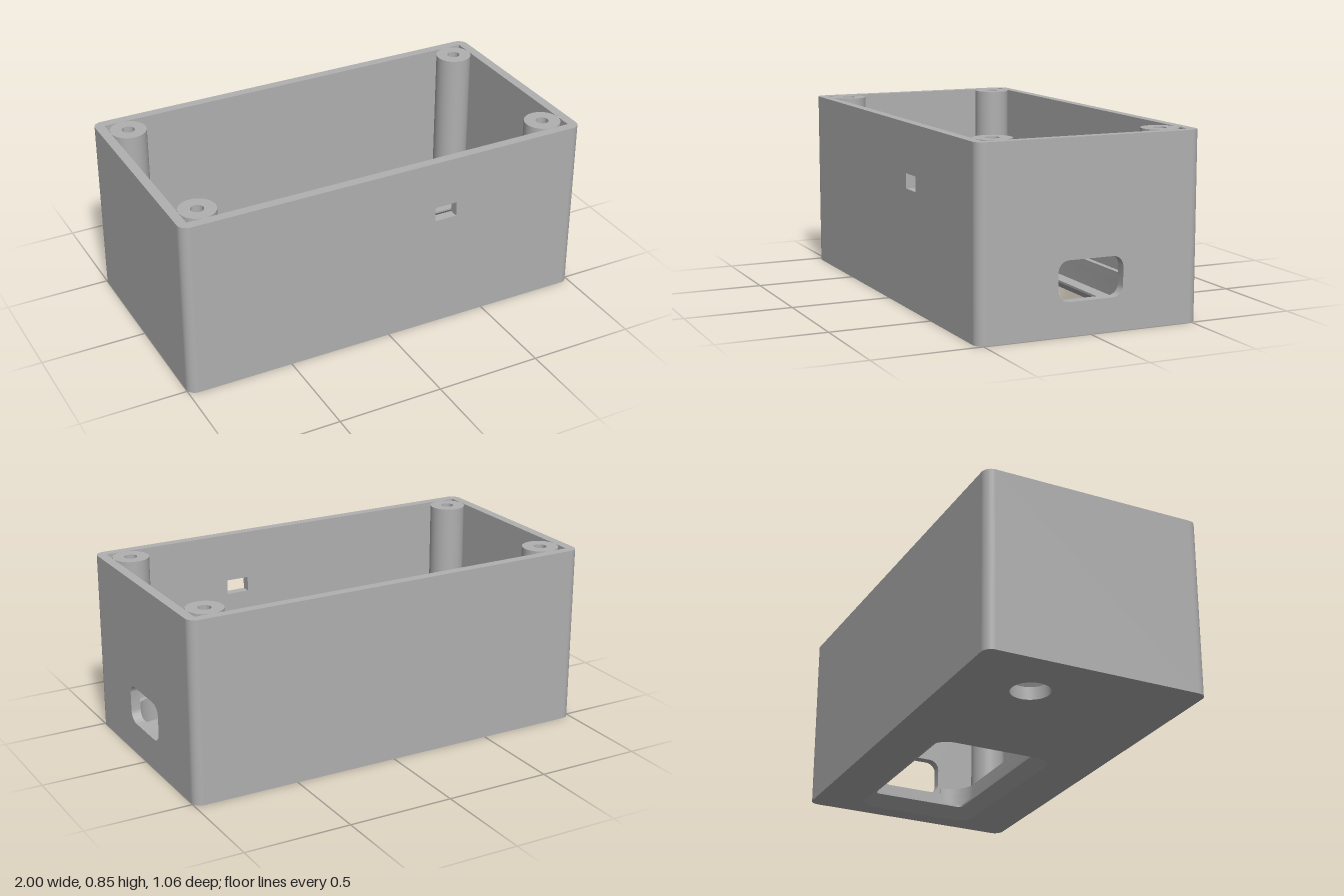
import * as THREE from 'three';
import { toCreasedNormals } from 'three/addons/utils/BufferGeometryUtils.js';

const X = 0.955, Z = 0.485, WALL = 0.045, H = 0.85, FLOOR = 0.06;

// Rounded rectangle, anticlockwise, starting and ending on its right edge
function roundedRect(x0, x1, y0, y1, r, steps = 10) {
  const points = [];
  const centres = [[x1 - r, y1 - r], [x0 + r, y1 - r], [x0 + r, y0 + r], [x1 - r, y0 + r]];
  centres.forEach(([cx, cy], k) => {
    for (let i = 0; i <= steps; i++) {
      const a = (k + i / steps) * Math.PI / 2;
      points.push(new THREE.Vector2(cx + r * Math.cos(a), cy + r * Math.sin(a)));
    }
  });
  return points;
}

function rect(x0, x1, y0, y1) {
  return [[x0, y0], [x1, y0], [x1, y1], [x0, y1]].map(p => new THREE.Vector2(...p));
}

function extrude(outline, holes, depth) {
  const shape = new THREE.Shape(outline);
  holes.forEach(h => shape.holes.push(new THREE.Path(h)));
  return toCreasedNormals(new THREE.ExtrudeGeometry(shape, { depth, bevelEnabled: false }), 0.5);
}

// Horizontal plate: outline y becomes -z
function plate(outline, holes, y, depth) {
  return extrude(outline, holes, depth).rotateX(-Math.PI / 2).translate(0, y, 0);
}

// Joins matching loops, each given as [points, height]
function loft(loops) {
  const n = loops[0][0].length, position = [], index = [];
  loops.forEach(([points, y]) => points.forEach(p => position.push(p.x, y, -p.y)));
  for (let j = 0; j < loops.length - 1; j++) {
    for (let i = 0; i < n; i++) {
      const k = (i + 1) % n, a = j * n, b = a + n;
      index.push(a + i, a + k, b + k, a + i, b + k, b + i);
    }
  }
  const geometry = new THREE.BufferGeometry();
  geometry.setAttribute('position', new THREE.Float32BufferAttribute(position, 3));
  geometry.setIndex(index);
  return toCreasedNormals(geometry, 0.5);
}

export function createModel() {
  const model = new THREE.Group();
  const grey = new THREE.MeshStandardMaterial({ color: 0xb0b0b0 });
  grey.name = 'grey plastic';
  const add = (name, geometry, x = 0, y = 0, z = 0) => {
    const mesh = new THREE.Mesh(geometry, grey);
    mesh.name = name;
    mesh.position.set(x, y, z);
    model.add(mesh);
  };

  // Long walls, the front one with a small slot
  const longSide = rect(-X, X, 0, H);
  add('frontWall', extrude(longSide, [rect(0.23, 0.34, 0.55, 0.62)], WALL), 0, 0, Z);
  add('backWall', extrude(longSide, [], WALL), 0, 0, -Z - WALL);

  // End walls, the one at +x with a rounded cable opening
  const shortSide = rect(-Z, Z, 0, H);
  const cable = roundedRect(-0.155, 0.155, 0.15, 0.33, 0.05);
  add('cableWall', extrude(shortSide, [cable], WALL).rotateY(Math.PI / 2), X);
  add('plainWall', extrude(shortSide, [], WALL).rotateY(Math.PI / 2), -X - WALL);

  // Rounded vertical corners and screw posts with blind holes
  const profile = [[0.085, FLOOR], [0.085, H], [0.03, H], [0.03, 0.4], [0, 0.4]]
    .map(p => new THREE.Vector2(...p));
  const post = toCreasedNormals(new THREE.LatheGeometry(profile, 40), 0.5);
  for (let k = 0; k < 4; k++) {
    const sx = k < 2 ? 1 : -1, sz = k % 3 === 0 ? 1 : -1;
    add('roundedCorner', new THREE.CylinderGeometry(WALL, WALL, H, 10, 1, false,
      k * Math.PI / 2, Math.PI / 2), sx * X, H / 2, sz * Z);
    add('screwPost', post, sx * 0.87, 0, sz * 0.4);
  }

  // Floor with a round button hole and a display opening
  const opening = roundedRect(-0.04, 0.905, -0.295, 0.3, 0.085);
  const window = roundedRect(0.02, 0.845, -0.235, 0.24, 0.025);
  const button = new THREE.Path().absarc(-0.7, 0.17, 0.09, 0, Math.PI * 2).getPoints(24);
  button.pop();
  add('floor', plate(rect(-X, X, -Z, Z), [opening, button], 0, FLOOR));

  // Bevelled frame around the display opening
  add('displayBevel', loft([[opening, FLOOR], [window, FLOOR], [window, 0.05], [opening, 0]]));

  // Raised lip around the display, interrupted above at the cable opening
  const lipOuter = roundedRect(-0.155, 0.975, -0.32, 0.33, 0.15);
  const lipInner = roundedRect(-0.13, 0.95, -0.295, 0.305, 0.125);
  add('displayLip', plate(lipOuter, [lipInner], FLOOR, 0.09));
  add('displayLipTop', plate([...lipOuter, ...[...lipInner].reverse()], [], 0.15, 0.03));

  return model;
}
